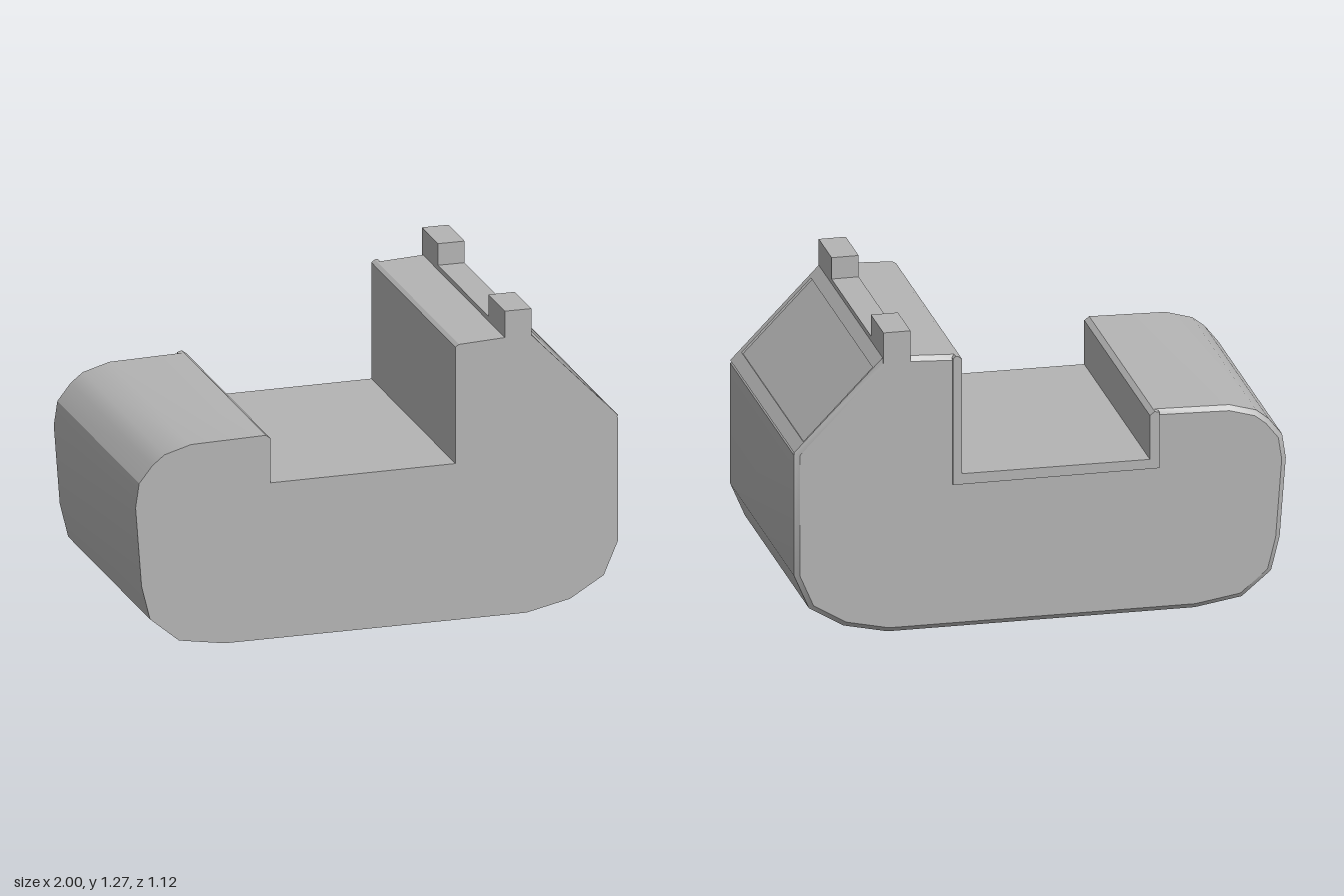
import * as THREE from 'three';
import { toCreasedNormals } from 'three/addons/utils/BufferGeometryUtils.js';

const BACK = -0.53, FRONT = 0.56, REAR = -0.545;

// Side profile, clockwise from the left flank; slope points are dropped by `sink`
const profile = (sink) => [
  [-1, 0.6], [-0.985, 0.7], [-0.93, 0.77], [-0.88, 0.81], [-0.77, 0.842],
  [-0.46, 0.85], [-0.44, 0.835], [-0.44, 0.65],
  [0.325, 0.655], [0.325, 1.14], [0.34, 1.15], [0.53, 1.16],
  [0.53, 1.18], [0.64, 1.18], [0.64, 1.16 - sink], [1, 0.79 - sink],
  [1, 0.27], [0.94, 0.13], [0.8, 0.045], [0.62, 0.005],
  [-0.63, 0], [-0.82, 0.03], [-0.94, 0.13], [-0.975, 0.27],
].map(([x, y]) => new THREE.Vector2(x, y));

// Mitred inward offset of a clockwise outline
function inset(pts, d) {
  const n = pts.length;
  const normal = (a, b) => new THREE.Vector2(b.y - a.y, a.x - b.x).normalize();
  return pts.map((p, i) => {
    const n1 = normal(pts[(i + n - 1) % n], p);
    const n2 = normal(p, pts[(i + 1) % n]);
    return n1.clone().add(n2).multiplyScalar(d / (1 + n1.dot(n2))).add(p);
  });
}

function extrude(pts, z0, z1, hole) {
  const shape = new THREE.Shape(pts);
  if (hole) shape.holes.push(new THREE.Path(hole));
  const geo = new THREE.ExtrudeGeometry(shape, { depth: z1 - z0, bevelEnabled: false });
  return geo.translate(0, 0, z0);
}

const rect = (x0, y0, x1, y1) =>
  [[x0, y0], [x1, y0], [x1, y1], [x0, y1]].map(([x, y]) => new THREE.Vector2(x, y));

export function createModel() {
  const group = new THREE.Group();
  const grey = new THREE.MeshStandardMaterial({ color: 0xb4b4b4 });
  grey.name = 'plain grey';
  const add = (name, geo) => {
    const mesh = new THREE.Mesh(geo, grey);
    mesh.name = name;
    group.add(mesh);
    return mesh;
  };

  // Main body, its slope sunk to form the floor of the shallow panel
  add('body', toCreasedNormals(extrude(profile(0.012), BACK, FRONT), 0.5));

  // Chamfered rear edge
  const outer = profile(0), inner = inset(outer, 0.02);
  const rim = extrude(outer, REAR, BACK);
  const pos = rim.attributes.position;
  for (let i = 0; i < pos.count; i++) {
    if (pos.getZ(i) > REAR + 0.005) continue;
    const k = outer.findIndex((p) => Math.hypot(p.x - pos.getX(i), p.y - pos.getY(i)) < 1e-4);
    if (k >= 0) pos.setXY(i, inner[k].x, inner[k].y);
  }
  add('rearChamfer', toCreasedNormals(rim, 0.5));

  // Raised lip round the cut-out on the rear face
  const lip = [
    [-0.48, 0.61], [0.36, 0.61], [0.36, 1.14], [0.35, 1.152], [0.34, 1.15], [0.325, 1.14],
    [0.325, 0.655], [-0.44, 0.65], [-0.44, 0.835], [-0.46, 0.85], [-0.48, 0.845],
  ].map(([x, y]) => new THREE.Vector2(x, y));
  add('cutoutLip', extrude(lip, -0.56, BACK));

  // Frame on the slope around the recessed panel (local x = -z, local y = up the slope)
  const length = Math.hypot(0.36, 0.37);
  const frame = extrude(
    rect(-FRONT, 0, -BACK, length), -0.0084, 0,
    rect(-0.53, 0.056, 0.52, length - 0.056));
  const up = new THREE.Vector3(-0.36, 0.37, 0).normalize();
  const side = new THREE.Vector3(0, 0, -1);
  const out = side.clone().cross(up);
  frame.applyMatrix4(new THREE.Matrix4().makeBasis(side, up, out).setPosition(1, 0.79, 0));
  add('slopeFrame', frame);

  // Two posts on the ridge
  for (const [name, z0, z1] of [['frontPost', 0.34, FRONT], ['rearPost', REAR, -0.33]]) {
    const post = add(name, new THREE.BoxGeometry(0.11, 0.13, z1 - z0));
    post.position.set(0.585, 1.205, (z0 + z1) / 2);
  }
  return group;
}
